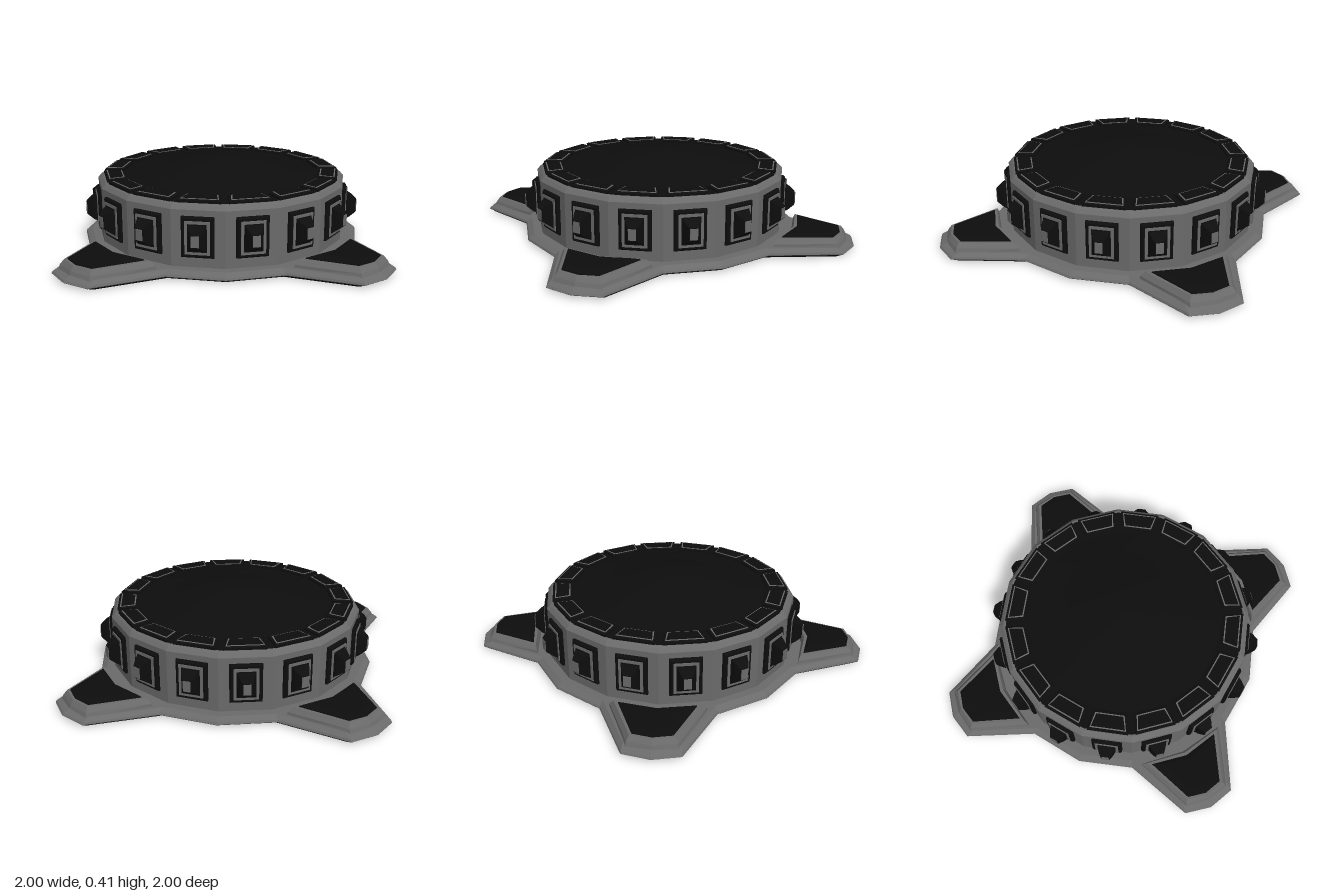
import * as THREE from 'three';

const grey = new THREE.MeshStandardMaterial({ color: 0x6a6a6a, flatShading: true });
const dark = new THREE.MeshStandardMaterial({ color: 0x0d0d0d, flatShading: true });
const darkSmooth = new THREE.MeshStandardMaterial({ color: 0x0d0d0d });

// Closed solid through stacked outlines; each ring is { y, pts: [[x, z], ...] }
function loft(name, material, rings) {
  const flip = THREE.ShapeUtils.area(rings[0].pts.map(p => new THREE.Vector2(...p))) < 0;
  const loops = rings.map(r => ({ y: r.y, pts: flip ? [...r.pts].reverse() : r.pts }));
  const n = loops[0].pts.length, pos = [], idx = [];
  for (const { y, pts } of loops) for (const [x, z] of pts) pos.push(x, y, z);
  for (let r = 0; r < loops.length - 1; r++) {
    for (let i = 0; i < n; i++) {
      const a = r * n + i, b = r * n + (i + 1) % n;
      idx.push(a, a + n, b, b, a + n, b + n);
    }
  }
  const cap = THREE.ShapeUtils.triangulateShape(loops[0].pts.map(p => new THREE.Vector2(...p)), []);
  const top = (loops.length - 1) * n;
  for (const [a, b, c] of cap) idx.push(a, b, c, top + a, top + c, top + b);
  const indexed = new THREE.BufferGeometry();
  indexed.setAttribute('position', new THREE.Float32BufferAttribute(pos, 3));
  indexed.setIndex(idx);
  const geo = indexed.toNonIndexed();
  geo.computeVertexNormals();
  const mesh = new THREE.Mesh(geo, material);
  mesh.name = name;
  return mesh;
}

const scaled = (pts, s) => pts.map(([x, z]) => [x * s, z * s]);
const rect = (w, h) => [[-w / 2, -h / 2], [w / 2, -h / 2], [w / 2, h / 2], [-w / 2, h / 2]];
const polygon = (r, n = 16) => Array.from({ length: n }, (_, i) => {
  const a = i / n * Math.PI * 2;
  return [r * Math.sin(a), r * Math.cos(a)];
});

// Four-armed outline, one quarter repeated by rotation
function baseOutline() {
  const pts = [];
  for (let q = 0; q < 4; q++) {
    const c = Math.round(Math.cos(q * Math.PI / 2)), s = Math.round(Math.sin(q * Math.PI / 2));
    for (const [x, z] of [[-0.13, 0.97], [0, 1], [0.13, 0.97], [0.27, 0.65], [0.5, 0.5], [0.65, 0.27]]) {
      if (x === 0.65) continue; // shared with the next arm
      pts.push([x * c + z * s, z * c - x * s]);
    }
    pts.push([0.65 * c + 0.27 * s, 0.27 * c - 0.65 * s]);
  }
  return pts;
}

// Stepped pad on an arm, pointing along +z
function armPad() {
  const g = new THREE.Group();
  g.name = 'armPad';
  const outline = (tipW, tipZ, rootW, rootZ) => [
    [-tipW, tipZ - 0.02], [0, tipZ], [tipW, tipZ - 0.02],
    [rootW, rootZ], [0, rootZ + 0.035], [-rootW, rootZ]];
  g.add(
    loft('padStep', grey, [
      { y: 0.03, pts: outline(0.115, 0.965, 0.225, 0.655) },
      { y: 0.055, pts: outline(0.11, 0.955, 0.22, 0.66) },
      { y: 0.078, pts: outline(0.098, 0.94, 0.2, 0.67) }]),
    loft('padCover', dark, [
      { y: 0.07, pts: outline(0.09, 0.932, 0.18, 0.685) },
      { y: 0.083, pts: outline(0.088, 0.928, 0.176, 0.687) },
      { y: 0.09, pts: outline(0.065, 0.895, 0.13, 0.71) }]));
  return g;
}

// Framed window with a projecting stub, facing +z
function windowUnit() {
  const g = new THREE.Group();
  g.name = 'window';
  const layers = [
    ['outerFrame', dark, [[-0.01, 0.15, 0.19], [0.01, 0.15, 0.19], [0.018, 0.135, 0.175]]],
    ['innerFrame', grey, [[0, 0.115, 0.155], [0.022, 0.115, 0.155]]],
    ['pane', dark, [[0, 0.088, 0.128], [0.025, 0.088, 0.128]]],
    ['stub', dark, [[0.02, 0.085, 0.125], [0.04, 0.075, 0.105], [0.07, 0.042, 0.06]]],
    ['stubTip', grey, [[0.06, 0.036, 0.052], [0.073, 0.036, 0.052]]]];
  for (const [name, mat, rows] of layers) {
    const mesh = loft(name, mat, rows.map(([y, w, h]) => ({ y, pts: rect(w, h) })));
    mesh.rotation.x = Math.PI / 2;
    g.add(mesh);
  }
  return g;
}

// Outlined trapezoid panel on the rim, lying along +z
function rimPanel() {
  const g = new THREE.Group();
  g.name = 'rimPanel';
  const trap = d => [[-0.083 + d, 0.492 + d], [0.083 - d, 0.492 + d], [0.1 - d, 0.592 - d], [-0.1 + d, 0.592 - d]];
  g.add(
    loft('panelBase', dark, [{ y: 0.325, pts: trap(0) }, { y: 0.343, pts: trap(0) }, { y: 0.347, pts: trap(0.006) }]),
    loft('panelOutline', grey, [{ y: 0.34, pts: trap(0.012) }, { y: 0.349, pts: trap(0.012) }]),
    loft('panelInsert', dark, [{ y: 0.34, pts: trap(0.018) }, { y: 0.351, pts: trap(0.018) }]));
  return g;
}

export function createModel() {
  const model = new THREE.Group();
  model.name = 'platform';

  // Base plate with undercut dark sole
  const outline = baseOutline();
  model.add(
    loft('sole', dark, [
      { y: 0, pts: scaled(outline, 0.965) }, { y: 0.012, pts: scaled(outline, 0.992) }]),
    loft('basePlate', grey, [
      { y: 0.012, pts: scaled(outline, 0.995) }, { y: 0.016, pts: outline },
      { y: 0.025, pts: scaled(outline, 0.993) }, { y: 0.041, pts: scaled(outline, 0.955) }]));

  // Sixteen-sided drum and its dark deck
  model.add(
    loft('drum', grey, [
      { y: 0.03, pts: polygon(0.632) }, { y: 0.308, pts: polygon(0.632) },
      { y: 0.326, pts: polygon(0.616) }, { y: 0.332, pts: polygon(0.608) }]),
    loft('deck', dark, [{ y: 0.325, pts: polygon(0.598) }, { y: 0.335, pts: polygon(0.598) }]));

  // Shallow central dome
  const profile = [[0.485, 0.325], [0.48, 0.337], [0.37, 0.343], [0.28, 0.366], [0.19, 0.387], [0.1, 0.402], [0, 0.41]]
    .map(p => new THREE.Vector2(...p));
  const dome = new THREE.Mesh(new THREE.LatheGeometry(profile, 48), darkSmooth);
  dome.name = 'dome';
  model.add(dome);

  // Windows and rim panels, one per drum side
  const apothem = 0.632 * Math.cos(Math.PI / 16);
  for (let i = 0; i < 16; i++) {
    const a = (i + 0.5) * Math.PI / 8;
    const win = windowUnit();
    win.position.set(apothem * Math.sin(a), 0.185, apothem * Math.cos(a));
    win.rotation.y = a;
    const panel = rimPanel();
    panel.rotation.y = a;
    model.add(win, panel);
  }

  // Arm pads
  for (let i = 0; i < 4; i++) {
    const pad = armPad();
    pad.rotation.y = i * Math.PI / 2;
    model.add(pad);
  }
  return model;
}
